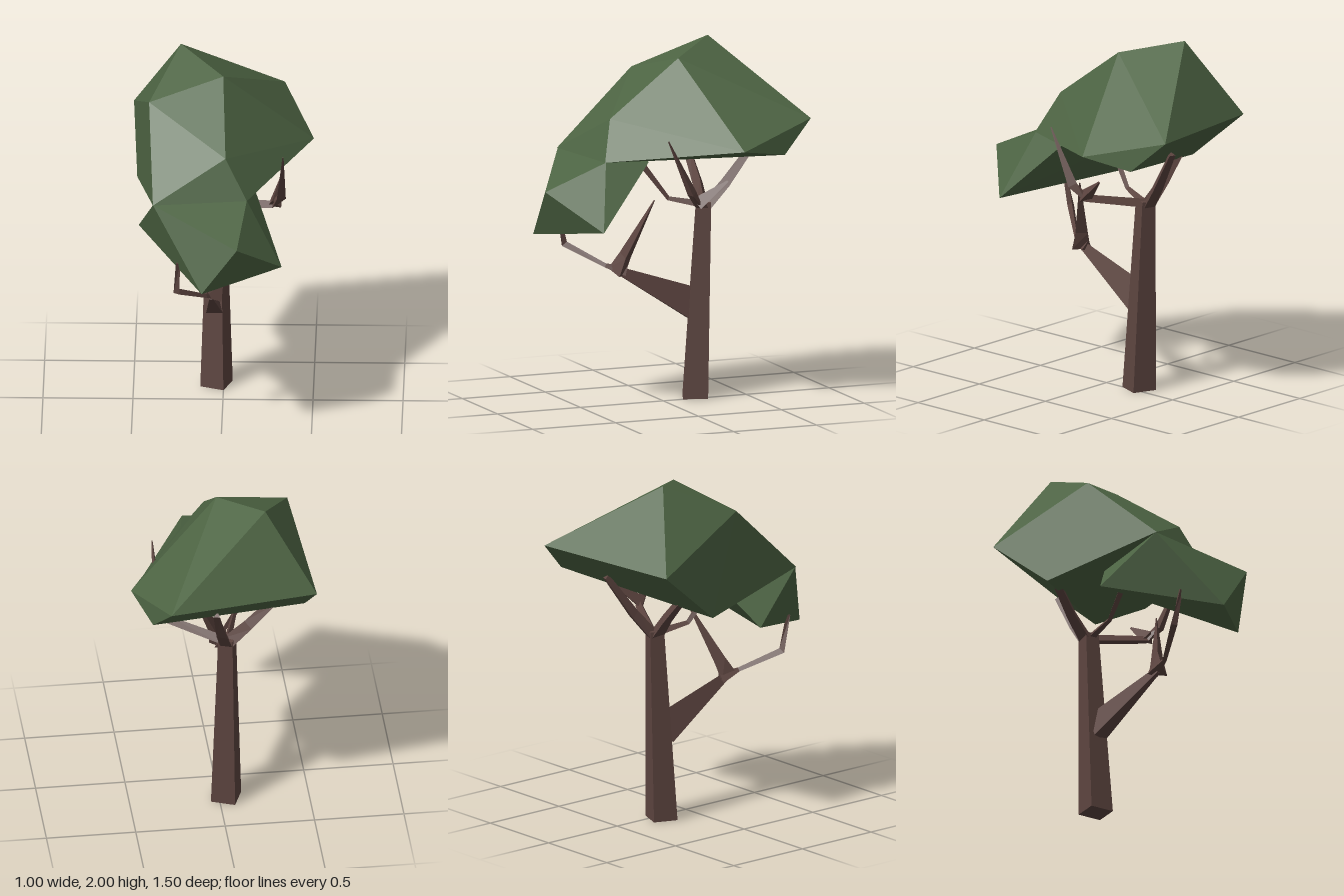
import * as THREE from 'three';
import { ConvexGeometry } from 'three/addons/geometries/ConvexGeometry.js';

const V = (p) => new THREE.Vector3(...p);

// Faceted tapering limb through points; each ring has its own radius, squash narrows it sideways
function limbGeometry(path, radii, sides = 3, squash = 1) {
  const pts = path.map(V);
  const up = new THREE.Vector3(0, 1, 0);
  const rings = pts.map((p, i) => {
    const t = pts[Math.min(i + 1, pts.length - 1)].clone().sub(pts[Math.max(i - 1, 0)]).normalize();
    const u = up.clone().cross(t).normalize();
    const v = t.clone().cross(u);
    return Array.from({ length: sides }, (_, k) => {
      const a = Math.PI / 2 + (k / sides) * Math.PI * 2;
      return p.clone()
        .addScaledVector(u, Math.cos(a) * radii[i] * squash)
        .addScaledVector(v, Math.sin(a) * radii[i]);
    });
  });
  const tris = [];
  for (let i = 0; i < rings.length - 1; i++) {
    for (let k = 0; k < sides; k++) {
      const n = (k + 1) % sides;
      const [a, b, c, d] = [rings[i][k], rings[i][n], rings[i + 1][n], rings[i + 1][k]];
      tris.push(a, b, c, a, c, d);
    }
  }
  // End caps
  const first = rings[0], last = rings[rings.length - 1];
  for (let k = 1; k < sides - 1; k++) {
    tris.push(first[0], first[k + 1], first[k], last[0], last[k], last[k + 1]);
  }
  const geo = new THREE.BufferGeometry().setFromPoints(tris);
  geo.computeVertexNormals();
  return geo;
}

export function createModel() {
  const bark = new THREE.MeshStandardMaterial({ color: 0x5d4540 });
  bark.name = 'bark brown';
  const leaf = new THREE.MeshStandardMaterial({ color: 0x4d6443 });
  leaf.name = 'leaf green';

  const tree = new THREE.Group();
  tree.name = 'tree';
  const add = (name, geo, mat) => {
    const mesh = new THREE.Mesh(geo, mat);
    mesh.name = name;
    tree.add(mesh);
  };

  // Four-sided trunk, tapering and leaning slightly back
  const height = 1.1;
  let trunk = new THREE.CylinderGeometry(0.058, 0.098, height, 4, 1, false, 0.42);
  trunk.translate(-0.04, height / 2, -0.21);
  const pos = trunk.attributes.position;
  for (let i = 0; i < pos.count; i++) {
    pos.setZ(i, pos.getZ(i) - (0.05 * pos.getY(i)) / height);
  }
  trunk = trunk.toNonIndexed();
  trunk.computeVertexNormals();
  add('trunk', trunk, bark);

  // Low branch reaching forward, with two offshoots
  add('lowBranch', limbGeometry(
    [[-0.05, 0.5, -0.2], [-0.06, 0.735, 0.24]], [0.12, 0.03], 3, 0.45), bark);
  add('lowFrontTwig', limbGeometry(
    [[-0.06, 0.735, 0.2], [-0.09, 0.77, 0.31], [-0.245, 0.88, 0.495], [-0.24, 1.08, 0.54]],
    [0.04, 0.014, 0.022, 0.014]), bark);
  add('lowUpperTwig', limbGeometry(
    [[-0.06, 0.73, 0.25], [-0.03, 0.83, 0.215], [0.11, 1.16, 0.1]], [0.06, 0.04, 0.004]), bark);

  // Branches forking from the top of the trunk
  add('leftBranch', limbGeometry(
    [[-0.03, 1.08, -0.26], [0.28, 1.145, -0.1], [0.32, 1.22, -0.04], [0.335, 1.53, 0.11]],
    [0.03, 0.025, 0.03, 0.004]), bark);
  add('leftTwig', limbGeometry(
    [[0.28, 1.15, -0.09], [0.33, 1.28, -0.25]], [0.045, 0.006]), bark);
  add('frontBranch', limbGeometry(
    [[-0.04, 1.08, -0.26], [-0.1, 1.12, -0.07], [-0.14, 1.31, 0.07]], [0.025, 0.015, 0.022]), bark);
  add('rightBranch', limbGeometry(
    [[-0.04, 1.06, -0.26], [-0.16, 1.19, -0.28], [-0.3, 1.34, -0.28]], [0.045, 0.035, 0.028]), bark);
  add('backBranch', limbGeometry(
    [[-0.04, 1.06, -0.27], [0.0, 1.2, -0.38], [0.05, 1.44, -0.54]], [0.04, 0.035, 0.022]), bark);

  // Large faceted crown
  add('crown', new ConvexGeometry([
    [-0.24, 2.0, -0.37], [0.0, 1.93, -0.09], [-0.41, 1.82, 0.02],
    [-0.505, 1.56, -0.57], [0.33, 1.6, -0.75], [0.5, 1.47, -0.28],
    [0.41, 1.42, -0.56], [-0.48, 1.26, -0.21], [-0.38, 1.4, 0.48],
    [0.02, 1.62, 0.33], [0.14, 1.4, 0.41],
  ].map(V)), leaf);

  // Smaller clump hanging at the front
  add('frontClump', new ConvexGeometry([
    [-0.38, 1.4, 0.475], [0.14, 1.4, 0.405], [0.335, 1.04, 0.5],
    [0.09, 1.25, 0.75], [-0.105, 0.98, 0.74], [-0.465, 1.13, 0.15],
    [0.17, 1.39, 0.16], [-0.25, 1.36, 0.02],
  ].map(V)), leaf);

  return tree;
}
